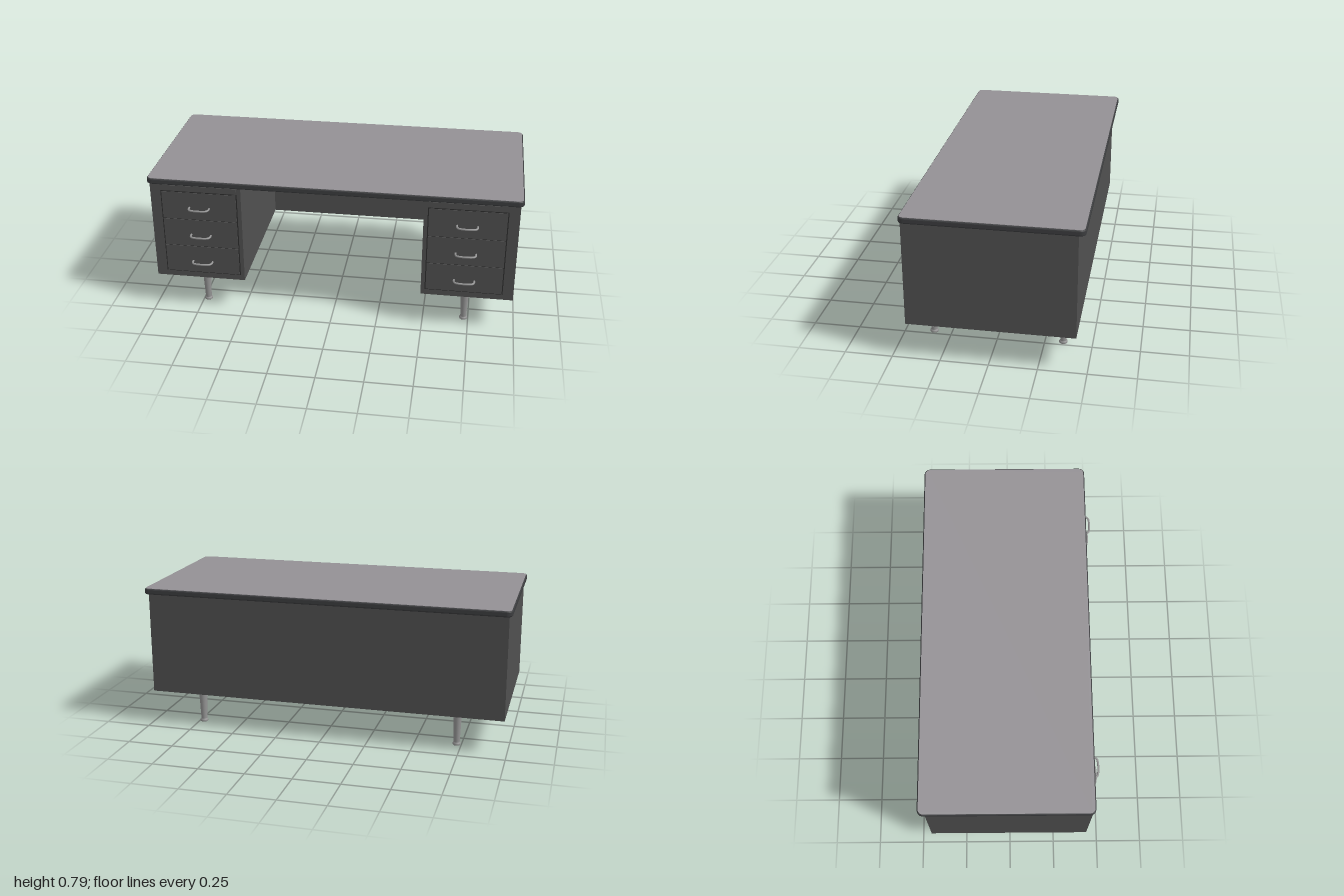
import * as THREE from 'three';

const mat = (name, color) => {
  const m = new THREE.MeshStandardMaterial({ color });
  m.name = name;
  return m;
};

export function createModel() {
  const desk = new THREE.Group();
  desk.name = 'desk';
  const body = mat('charcoal paint', 0x505050);
  const edge = mat('dark edging', 0x3c3d3f);
  const gap = mat('shadow gap', 0x2c2c2c);
  const laminate = mat('grey laminate', 0x949195);
  const metal = mat('brushed metal', 0x949494);

  const add = (name, geometry, material, parent = desk) => {
    const mesh = new THREE.Mesh(geometry, material);
    mesh.name = name;
    parent.add(mesh);
    return mesh;
  };
  // Box given by its minimum and maximum corners
  const box = (name, a, b, material, parent) => {
    const mesh = add(name, new THREE.BoxGeometry(b[0] - a[0], b[1] - a[1], b[2] - a[2]), material, parent);
    mesh.position.set((a[0] + b[0]) / 2, (a[1] + b[1]) / 2, (a[2] + b[2]) / 2);
  };
  const roundedRect = (w, d, r) => {
    const x = w / 2, y = d / 2;
    const s = new THREE.Shape();
    s.absarc(x - r, y - r, r, 0, Math.PI / 2);
    s.absarc(-x + r, y - r, r, Math.PI / 2, Math.PI);
    s.absarc(-x + r, -y + r, r, Math.PI, Math.PI * 1.5);
    s.absarc(x - r, -y + r, r, Math.PI * 1.5, Math.PI * 2);
    s.closePath();
    return s;
  };

  // Worktop: rounded slab with a thin laminate sheet on it
  const bevel = 0.008;
  const slab = new THREE.ExtrudeGeometry(roundedRect(2 - 2 * bevel, 0.914 - 2 * bevel, 0.024), {
    depth: 0.032 - 2 * bevel, bevelThickness: bevel, bevelSize: bevel, bevelSegments: 4, curveSegments: 8,
  });
  slab.rotateX(-Math.PI / 2);
  add('worktopEdge', slab, edge).position.set(0, 0.755 + bevel, -0.018);
  const sheet = new THREE.ExtrudeGeometry(roundedRect(1.988, 0.902, 0.026), {
    depth: 0.002, bevelEnabled: false, curveSegments: 8,
  });
  sheet.rotateX(-Math.PI / 2);
  add('worktopSurface', sheet, laminate).position.set(0, 0.7865, -0.018);

  // Back panel between the pedestals
  box('backPanel', [-0.487, 0.19, -0.44], [0.487, 0.756, -0.425], body);

  // Lathe profile of a tapered leg with a flared foot
  const legProfile = [[0, 0], [0.019, 0], [0.022, 0.003], [0.022, 0.011], [0.018, 0.015], [0.0165, 0.018],
    [0.0235, 0.185]].map(([r, y]) => new THREE.Vector2(r, y));
  const legGeometry = new THREE.LatheGeometry(legProfile, 20);

  // Bow handle
  const bow = new THREE.CatmullRomCurve3([
    [-0.054, 0.428], [-0.054, 0.448], [-0.046, 0.463], [-0.025, 0.469], [0.025, 0.469],
    [0.046, 0.463], [0.054, 0.448], [0.054, 0.428],
  ].map(([x, z]) => new THREE.Vector3(x, 0, z)));
  const handleGeometry = new THREE.TubeGeometry(bow, 36, 0.0055, 8);

  for (const side of [-1, 1]) {
    const pedestal = new THREE.Group();
    pedestal.name = side > 0 ? 'leftPedestal' : 'rightPedestal';
    desk.add(pedestal);
    const cx = side * 0.717;
    const x0 = side > 0 ? 0.487 : -0.983, x1 = side > 0 ? 0.983 : -0.487;
    box('cabinet', [x0, 0.19, -0.44], [x1, 0.756, 0.427], body, pedestal);

    // Drawer fronts over a dark reveal
    box('drawerReveal', [cx - 0.209, 0.222, 0.42], [cx + 0.209, 0.718, 0.4285], gap, pedestal);
    [0.295, 0.46, 0.625].forEach((y, i) => {
      const y0 = 0.2265 + i * 0.1635;
      box('drawerFront', [cx - 0.2035, y0, 0.42], [cx + 0.2035, y0 + 0.16, 0.4315], body, pedestal);
      add('drawerHandle', handleGeometry, metal, pedestal).position.set(cx, y, 0);
    });

    // Pull-out writing board under the worktop
    box('pullOutBoard', [cx - 0.205, 0.733, 0.4], [cx + 0.205, 0.754, 0.435], body, pedestal);

    // Legs and mounting plates
    for (const z of [-0.347, 0.344]) {
      const leg = new THREE.Group();
      leg.name = 'leg';
      leg.position.set(side * 0.725, 0, z);
      pedestal.add(leg);
      add('legPost', legGeometry, metal, leg);
      box('legPlate', [-0.047, 0.184, -0.047], [0.047, 0.191, 0.047], body, leg);
    }
  }
  return desk;
}
